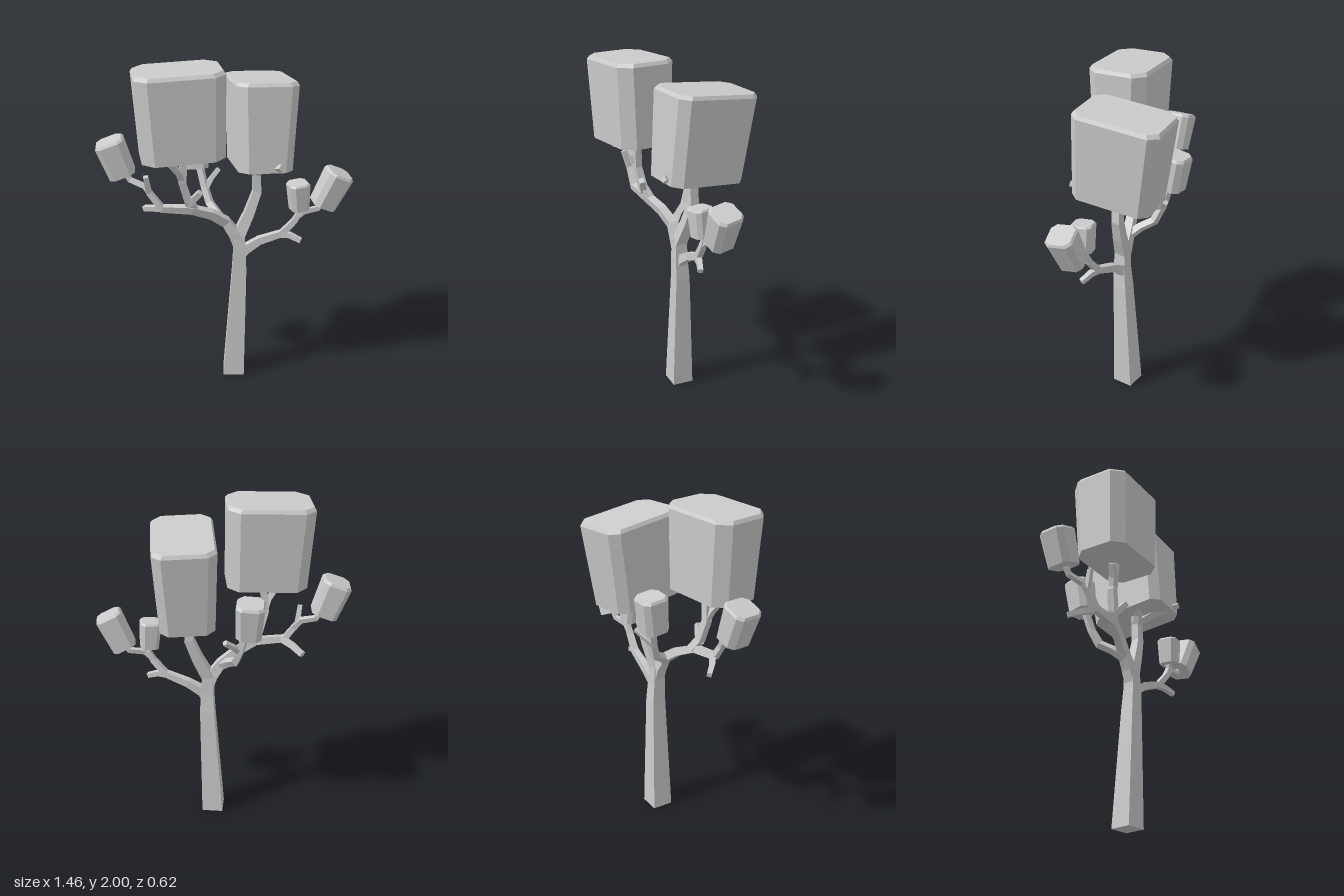
import * as THREE from 'three';

const V = (x, y, z) => new THREE.Vector3(x, y, z);
const material = new THREE.MeshStandardMaterial({ color: 0xcccccc, flatShading: true });

// Skins a list of equal-sized rings and closes both ends.
function loft(rings) {
  const pos = [];
  const tri = (...p) => p.forEach((q) => pos.push(q.x, q.y, q.z));
  const n = rings[0].length;
  for (let k = 0; k < rings.length - 1; k++) {
    const a = rings[k], b = rings[k + 1];
    for (let i = 0; i < n; i++) {
      const j = (i + 1) % n;
      tri(a[i], a[j], b[j]);
      tri(a[i], b[j], b[i]);
    }
  }
  const first = rings[0], last = rings[rings.length - 1];
  for (let i = 1; i < n - 1; i++) {
    tri(first[0], first[i + 1], first[i]);
    tri(last[0], last[i], last[i + 1]);
  }
  const g = new THREE.BufferGeometry();
  g.setAttribute('position', new THREE.Float32BufferAttribute(pos, 3));
  g.computeVertexNormals();
  return g;
}

// Square-section limb through [x, y, z, width] points.
function limb(path) {
  const pts = path.map((p) => V(p[0], p[1], p[2]));
  const u = V(-0.16, 0, 0.99);
  const rings = pts.map((p, k) => {
    const before = pts[Math.max(k - 1, 0)], after = pts[Math.min(k + 1, pts.length - 1)];
    const t = p.y === 0 ? V(0, 1, 0) : after.clone().sub(before).normalize();
    u.addScaledVector(t, -u.dot(t)).normalize();
    const v = t.clone().cross(u);
    const h = path[k][3] / 2;
    return [[1, 1], [-1, 1], [-1, -1], [1, -1]].map(([a, b]) =>
      p.clone().addScaledVector(u, a * h).addScaledVector(v, b * h));
  });
  return loft(rings);
}

// Tapered foliage block with cut corners and a small bevel round the top.
function foliage(w, h, d, cut, taper) {
  const bevel = Math.min(0.02, cut * 0.5);
  const ring = (y, W, D, c) => {
    const x = W / 2, z = D / 2;
    return [[x - c, z], [x, z - c], [x, c - z], [x - c, -z],
      [c - x, -z], [-x, c - z], [-x, z - c], [c - x, z]].map(([a, b]) => V(a, y, b));
  };
  return loft([
    ring(-h / 2, w - taper, d - taper, cut),
    ring(h / 2 - bevel, w, d, cut),
    ring(h / 2, w - bevel * 1.2, d - bevel * 1.2, cut),
  ]);
}

export function createModel() {
  const tree = new THREE.Group();
  tree.name = 'tree';
  const add = (name, geometry) => {
    const mesh = new THREE.Mesh(geometry, material);
    mesh.name = name;
    tree.add(mesh);
    return mesh;
  };

  // Trunk and limbs
  const limbs = {
    trunk: [[0.0625, 0, 0.005, 0.127], [0.092, 0.72, 0.017, 0.085], [0.092, 0.84, 0.023, 0.075],
      [0.088, 0.95, 0.022, 0.07], [0.15, 1.08, 0.01, 0.06], [0.198, 1.21, 0, 0.052],
      [0.192, 1.32, 0, 0.048], [0.165, 1.45, 0, 0.04]],
    leftLimb: [[0.092, 0.86, 0.024, 0.06], [0.06, 0.96, 0.022, 0.065], [0.01, 1.035, 0.02, 0.055],
      [-0.08, 1.1, 0.04, 0.05], [-0.2, 1.15, 0.07, 0.045], [-0.37, 1.165, 0.06, 0.04],
      [-0.44, 1.265, 0.05, 0.032], [-0.458, 1.37, 0.08, 0.026]],
    leftLowTwig: [[-0.35, 1.165, 0.06, 0.035], [-0.41, 1.145, 0, 0.032], [-0.46, 1.12, -0.07, 0.028]],
    leftOuterBranch: [[-0.425, 1.24, 0.05, 0.03], [-0.46, 1.295, 0.03, 0.03],
      [-0.54, 1.325, -0.01, 0.028], [-0.58, 1.4, -0.02, 0.028]],
    leftUpperBranch: [[-0.18, 1.145, 0.06, 0.045], [-0.22, 1.21, 0.085, 0.045],
      [-0.255, 1.33, 0.1, 0.042], [-0.24, 1.52, 0.11, 0.04]],
    leftUpperTwig: [[-0.255, 1.34, 0.1, 0.036], [-0.275, 1.395, 0.12, 0.034], [-0.325, 1.46, 0.14, 0.03]],
    leftInnerTwig: [[-0.225, 1.18, 0.08, 0.036], [-0.195, 1.22, 0.1, 0.036], [-0.155, 1.275, 0.13, 0.032]],
    backBranch: [[0.01, 1.02, 0.02, 0.045], [-0.03, 1.07, -0.04, 0.04], [-0.065, 1.11, -0.11, 0.04],
      [-0.09, 1.2, -0.15, 0.036], [-0.12, 1.36, -0.19, 0.036]],
    backTwig: [[-0.085, 1.19, -0.14, 0.03], [-0.05, 1.235, -0.175, 0.028], [0.005, 1.285, -0.21, 0.026]],
    frontTwig: [[0.19, 1.33, 0, 0.04], [0.22, 1.385, 0.1, 0.038], [0.285, 1.435, 0.25, 0.03]],
    innerTwig: [[0.19, 1.32, 0, 0.04], [0.16, 1.37, 0.03, 0.036], [0.12, 1.4, 0.05, 0.032]],
    rightLimb: [[0.09, 0.79, 0.02, 0.05], [0.125, 0.85, 0.022, 0.055], [0.21, 0.905, 0.03, 0.045],
      [0.34, 0.955, 0.06, 0.038], [0.41, 1.04, 0.08, 0.034], [0.44, 1.1, 0.085, 0.03],
      [0.42, 1.17, 0.095, 0.026]],
    rightLowTwig: [[0.32, 0.95, 0.055, 0.034], [0.385, 0.948, 0.08, 0.032], [0.445, 0.92, 0.11, 0.028]],
    rightOuterBranch: [[0.42, 1.06, 0.08, 0.03], [0.46, 1.095, 0.085, 0.028],
      [0.55, 1.11, 0.08, 0.028], [0.59, 1.17, 0.08, 0.026]],
  };
  for (const [name, path] of Object.entries(limbs)) add(name, limb(path));

  // Foliage: name, centre, size, corner cut, taper, rotation
  const blocks = [
    ['largeLeftFoliage', [-0.265, 1.745, 0.132], [0.49, 0.485, 0.355], 0.065, 0.03, [0, 0, 0.035]],
    ['largeRightFoliage', [0.217, 1.625, -0.038], [0.35, 0.505, 0.51], 0.05, 0.04, [-0.1, 0, -0.025]],
    ['outerLeftFoliage', [-0.615, 1.46, -0.02], [0.165, 0.215, 0.172], 0.03, 0.015, [0, -0.08, 0.34]],
    ['backFoliage', [-0.135, 1.42, -0.2], [0.16, 0.21, 0.16], 0.03, 0.015, [-0.12, -0.16, 0.03]],
    ['outerRightFoliage', [0.62, 1.235, 0.093], [0.155, 0.225, 0.16], 0.028, 0.015, [0.12, 0.04, -0.42]],
    ['smallRightFoliage', [0.425, 1.205, 0.098], [0.12, 0.165, 0.125], 0.022, 0.015, [0.03, 0.12, 0.08]],
  ];
  for (const [name, centre, size, cut, taper, rotation] of blocks) {
    const mesh = add(name, foliage(...size, cut, taper));
    mesh.position.set(...centre);
    mesh.rotation.set(...rotation);
  }
  return tree;
}
